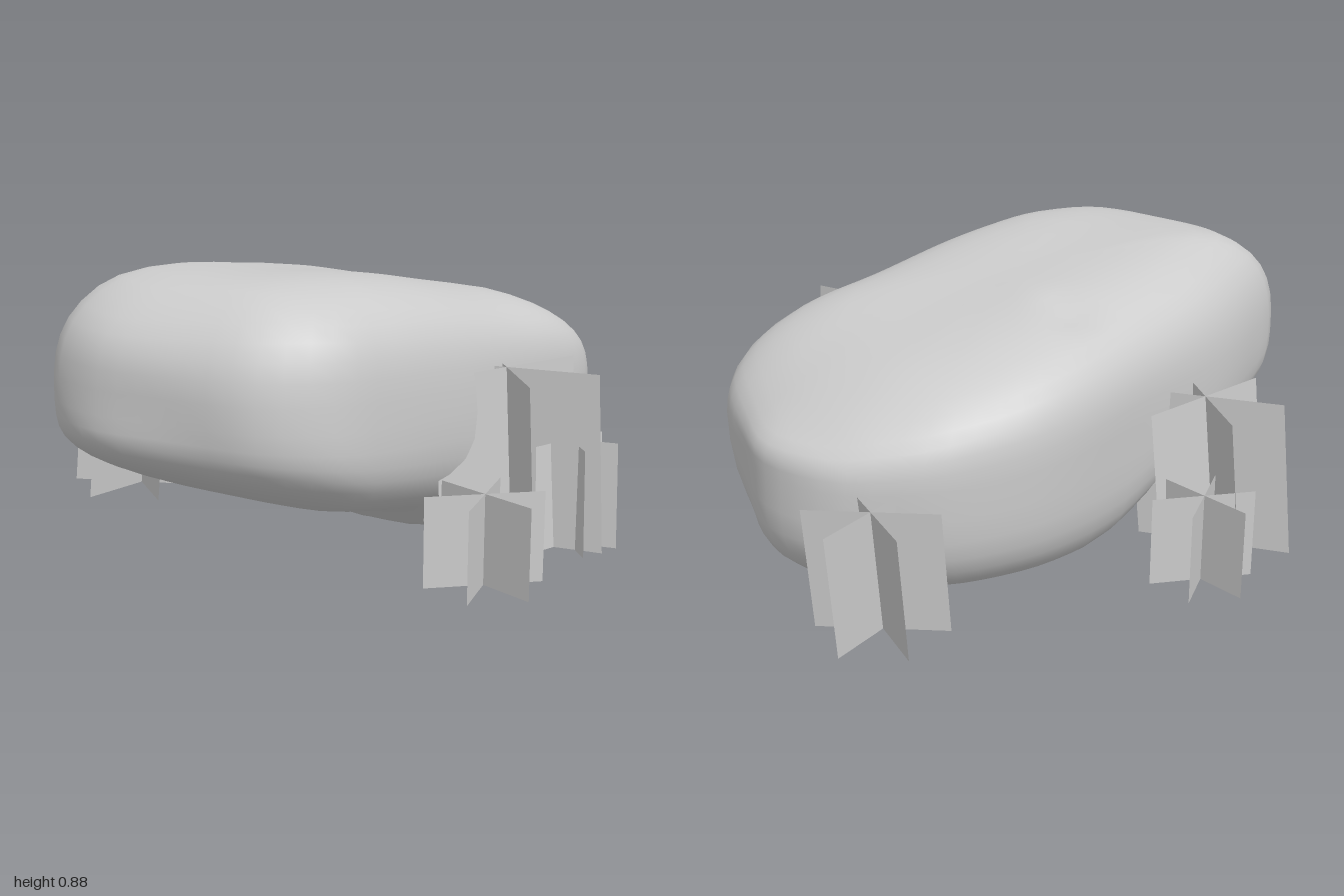
import * as THREE from 'three';
import { mergeVertices } from 'three/addons/utils/BufferGeometryUtils.js';

// Linear interpolation through [u, y] pairs
function profile(pts, u) {
  if (u <= pts[0][0]) return pts[0][1];
  for (let i = 1; i < pts.length; i++) {
    const [u0, y0] = pts[i - 1], [u1, y1] = pts[i];
    if (u <= u1) return y0 + (y1 - y0) * (u - u0) / (u1 - u0);
  }
  return pts[pts.length - 1][1];
}

// Heights along the long diagonal of the boulder
const TOP = [[-0.85, 0.9], [-0.67, 0.92], [-0.35, 0.89], [0, 0.83], [0.4, 0.765], [0.65, 0.7], [0.9, 0.61]];
const MIDDLE = [[-0.9, 0.52], [0, 0.47], [0.9, 0.42]];
const BOTTOM = [[-0.9, 0.32], [-0.5, 0.2], [-0.15, 0.13], [0.05, 0.02], [0.18, 0], [0.9, 0]];

function boulderGeometry() {
  // Widest outline seen from above
  const outline = new THREE.CatmullRomCurve3([
    [-0.91, 0.13], [-0.78, -0.05], [-0.6, -0.25], [-0.3, -0.48], [-0.05, -0.65], [0.1, -0.72],
    [0.34, -0.77], [0.47, -0.76], [0.67, -0.7], [0.83, -0.54], [0.88, -0.3], [0.905, 0],
    [0.82, 0.16], [0.5, 0.38], [0.2, 0.57], [-0.08, 0.72], [-0.27, 0.79], [-0.48, 0.75],
    [-0.63, 0.63], [-0.85, 0.39], [-0.905, 0.22],
  ].map(([x, z]) => new THREE.Vector3(x, 0, z)), true);
  const n = 72;
  const rim = outline.getSpacedPoints(n).slice(0, n);

  // Rings run from the top centre, over the rim, to the bottom centre
  const scales = [0, 0.15, 0.3, 0.45, 0.58, 0.68, 0.77, 0.84, 0.9, 0.945, 0.975, 0.992, 0.999];
  const rings = [...scales.map(s => [s, 1]), [1, 0], ...scales.slice().reverse().map(s => [s, -1])];
  const pos = [], index = [];
  for (const [s, side] of rings) {
    for (const p of rim) {
      const x = p.x * s, z = p.z * s;
      const u = 0.83 * x - 0.55 * z;
      const mid = profile(MIDDLE, u);
      const e = side > 0 ? 3.4 : 3.7;
      const f = Math.pow(1 - Math.pow(s, e), 1 / e);
      let y = mid + ((side > 0 ? profile(TOP, u) : profile(BOTTOM, u)) - mid) * f;
      // Weathered bumps and one shallow dent on top
      if (side > 0) {
        y += 0.008 * Math.sin(7 * x + 3 * z) * Math.sin(6 * z - 2 * x) * f;
        y -= 0.03 * Math.exp(-((x + 0.1) ** 2 + (z + 0.37) ** 2) / 0.006) * f;
      }
      const k = 1 + 0.012 * Math.sin(9 * y + 5 * x) * Math.sin(6 * z + 4 * y) * (1 - f) * s;
      pos.push(x * k, Math.max(0, y), z * k);
    }
  }
  for (let i = 0; i < rings.length - 1; i++) {
    for (let j = 0; j < n; j++) {
      const a = i * n + j, b = i * n + (j + 1) % n;
      index.push(a, b, a + n, b, b + n, a + n);
    }
  }
  let g = new THREE.BufferGeometry();
  g.setAttribute('position', new THREE.Float32BufferAttribute(pos, 3));
  g.setIndex(index);
  g = mergeVertices(g, 1e-5);
  g.computeVertexNormals();
  return g;
}

// Three crossed upright cards; the top edge leans by (leanX, leanZ)
function grassClump({ x, z, length, top, angle, lean }, material) {
  const clump = new THREE.Group();
  clump.name = 'grassClump';
  const base = 0.05, h = top - base;
  for (let i = 0; i < 3; i++) {
    const g = new THREE.PlaneGeometry(length, h);
    g.translate(0, h / 2, 0);
    g.rotateY(-THREE.MathUtils.degToRad(angle + i * 60));
    const p = g.attributes.position;
    for (let k = 0; k < p.count; k++) {
      const t = p.getY(k) / h - 0.5;
      p.setX(k, p.getX(k) + lean[0] * t);
      p.setZ(k, p.getZ(k) + lean[1] * t);
    }
    g.computeVertexNormals();
    const card = new THREE.Mesh(g, material);
    card.name = 'grassCard';
    clump.add(card);
  }
  clump.position.set(x, base, z);
  return clump;
}

export function createModel() {
  const group = new THREE.Group();
  group.name = 'boulderWithGrass';
  const stone = new THREE.MeshStandardMaterial({ color: 0xcccccc });
  stone.name = 'stone grey';
  stone.side = THREE.DoubleSide;

  const boulder = new THREE.Mesh(boulderGeometry(), stone);
  boulder.name = 'boulder';
  group.add(boulder);

  // Clumps around the foot of the boulder
  const clumps = [
    { x: 0.54, z: -0.82, length: 0.38, top: 0.42, angle: 15, lean: [0.025, -0.025] },
    { x: -0.51, z: -0.47, length: 0.47, top: 0.53, angle: -31, lean: [0.04, 0.02] },
    { x: -0.42, z: -0.7, length: 0.31, top: 0.32, angle: 0, lean: [0, 0] },
    { x: 0.38, z: 0.51, length: 0.56, top: 0.59, angle: -17, lean: [-0.02, -0.02] },
    { x: 0.55, z: 0.58, length: 0.29, top: 0.37, angle: -19, lean: [0.004, -0.02] },
    { x: 0.15, z: 0.83, length: 0.345, top: 0.315, angle: 10, lean: [0, 0] },
  ];
  for (const c of clumps) group.add(grassClump(c, stone));
  return group;
}
